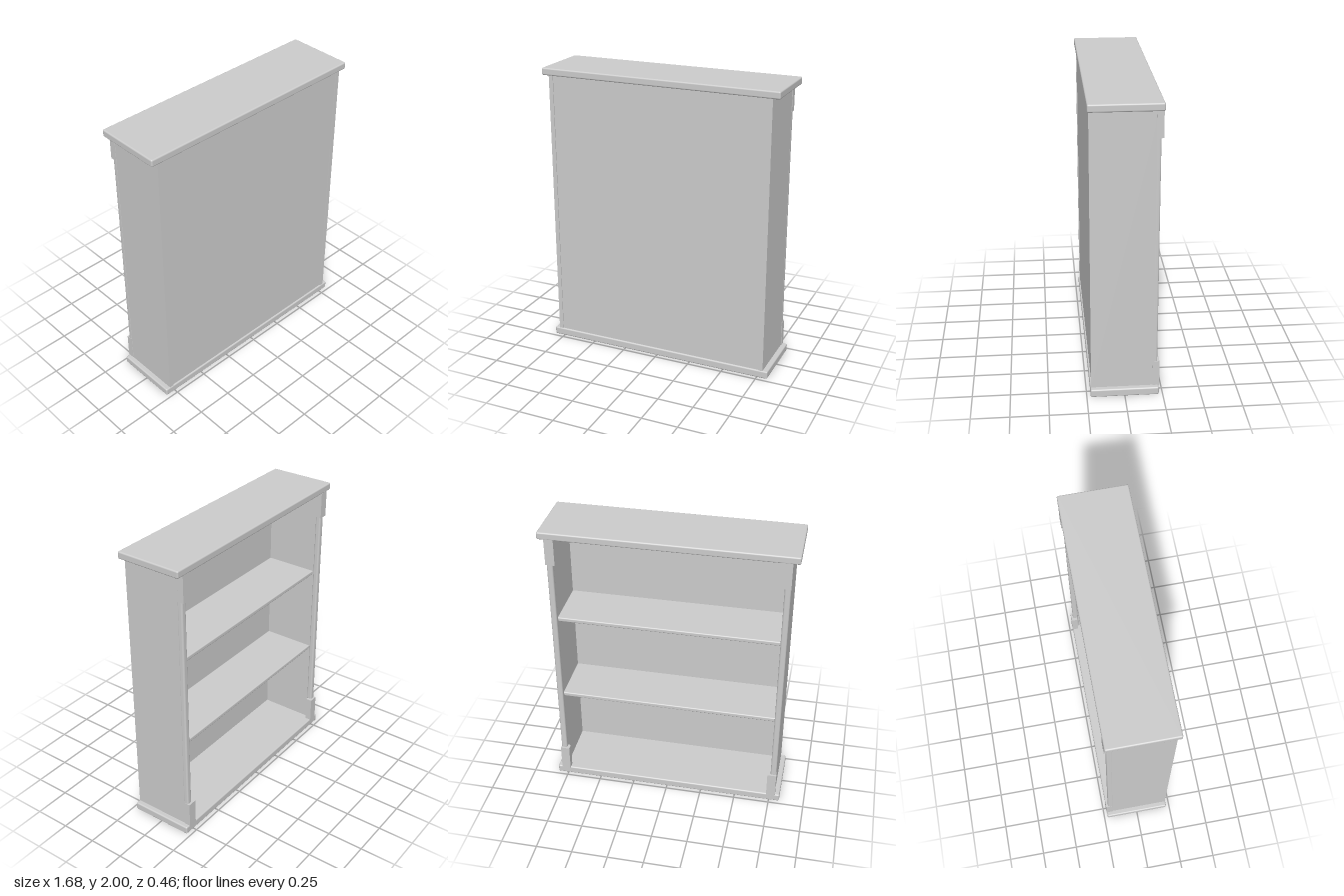
import * as THREE from 'three';
import { RoundedBoxGeometry } from 'three/addons/geometries/RoundedBoxGeometry.js';

const material = new THREE.MeshStandardMaterial({ color: 0xcccccc });

// Box given by its limits on each axis; r > 0 rounds the edges
function board(name, [x0, x1], [y0, y1], [z0, z1], r = 0) {
  const size = [x1 - x0, y1 - y0, z1 - z0];
  const geometry = r > 0
    ? new RoundedBoxGeometry(...size, 3, r)
    : new THREE.BoxGeometry(...size);
  const mesh = new THREE.Mesh(geometry, material);
  mesh.name = name;
  mesh.position.set((x0 + x1) / 2, (y0 + y1) / 2, (z0 + z1) / 2);
  return mesh;
}

export function createModel() {
  const group = new THREE.Group();
  group.name = 'bookcase';

  // Overhanging slabs with softened edges
  group.add(board('topSlab', [-0.84, 0.84], [1.95, 2], [-0.23, 0.23], 0.01));
  group.add(board('baseSlab', [-0.825, 0.825], [0, 0.055], [-0.225, 0.225], 0.01));

  // Closed panel on +z, the open shelves face -z
  group.add(board('backPanel', [-0.76, 0.76], [0.05, 1.955], [0.2, 0.215]));

  // Shelves
  for (const top of [0.705, 1.335]) {
    group.add(board('shelf', [-0.762, 0.762], [top - 0.03, top], [-0.17, 0.202], 0.008));
  }

  // Sides, each with a rounded post and a block at both ends of it
  for (const [side, s] of [['left', 1], ['right', -1]]) {
    const span = (a, b) => (s > 0 ? [a, b] : [-b, -a]);
    group.add(board(side + 'Side', span(0.76, 0.79), [0.05, 1.955], [-0.205, 0.22]));
    group.add(board(side + 'Post', span(0.75, 0.791), [0.05, 1.955], [-0.215, -0.175], 0.012));
    for (const [end, y] of [['Lower', [0.05, 0.235]], ['Upper', [1.77, 1.955]]]) {
      group.add(board(side + end + 'Block', span(0.73, 0.793), y, [-0.229, -0.185]));
    }
  }
  return group;
}
